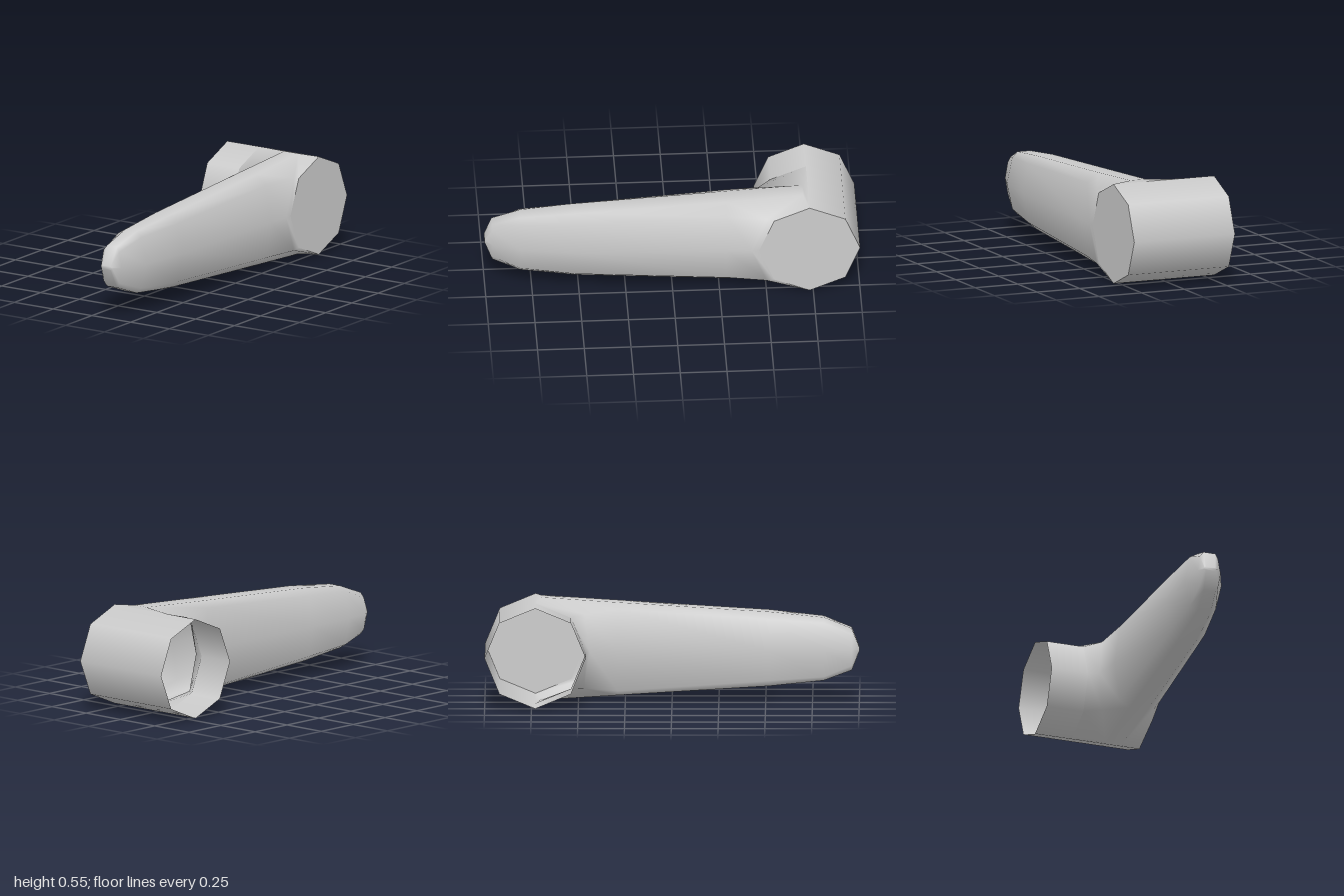
import * as THREE from 'three';

const R = 0.27, CY = 0.28, CZ = -0.73;       // hub radius and centre
const X0 = -0.297, XJ = -0.09, X1 = 0.293;   // open end, joint, closed end

// Half cross-sections of the lever as [x, height above centre, z]:
// inner middle, inner shoulder, top inner, top outer, outer shoulder, outer middle
const at = (z, pts) => pts.map(([x, y]) => [x, y, z]);
const D = R * Math.SQRT1_2;
const SECTIONS = [
  [[XJ, 0, CZ + R], [XJ, D, CZ + D], [XJ, R, CZ], [X1, R, CZ], [X1, D, CZ + D], [X1, 0, CZ + R]],
  [[-0.03, 0, -0.44], [-0.01, 0.2, -0.47], [0.09, 0.277, -0.7], [0.18, 0.277, -0.7], [0.288, 0.2, -0.5], [0.292, 0, -0.42]],
  at(-0.29, [[0, 0], [0.03, 0.22], [0.085, 0.25], [0.185, 0.25], [0.25, 0.2], [0.286, 0]]),
  at(0.52, [[0.01, 0], [0.036, 0.165], [0.085, 0.2], [0.18, 0.2], [0.228, 0.16], [0.262, 0]]),
  at(0.81, [[0.015, 0], [0.042, 0.145], [0.085, 0.17], [0.16, 0.17], [0.19, 0.14], [0.222, 0]]),
  at(0.96, [[0.035, 0], [0.048, 0.085], [0.07, 0.112], [0.135, 0.112], [0.15, 0.085], [0.165, 0]]),
  at(1, [[0.058, 0], [0.062, 0.007], [0.07, 0.01], [0.12, 0.01], [0.127, 0.007], [0.132, 0]]),
];

// Mirror each half section below the centre line and skin the rings
function leverGeometry() {
  const pos = [], index = [], n = 10;
  for (const half of SECTIONS) {
    const lower = half.slice(1, 5).reverse().map(([x, y, z]) => [x, -y, z]);
    for (const [x, y, z] of [...half, ...lower]) pos.push(x, CY + y, z);
  }
  for (let j = 0; j < SECTIONS.length - 1; j++) {
    for (let i = 0; i < n; i++) {
      const a = j * n + i, b = j * n + (i + 1) % n, c = a + n, d = b + n;
      index.push(a, c, b, b, c, d);
    }
  }
  const tip = (SECTIONS.length - 1) * n;
  for (let i = 1; i < n - 1; i++) index.push(tip, tip + i + 1, tip + i);
  const g = new THREE.BufferGeometry();
  g.setAttribute('position', new THREE.Float32BufferAttribute(pos, 3));
  g.setIndex(index);
  g.computeVertexNormals();
  return g;
}

// Open eight-sided wall lying along x, or an arc of it
function hubWall(xa, xb, sides, start, length) {
  return new THREE.CylinderGeometry(R, R, xb - xa, sides, 1, true, start, length)
    .rotateZ(Math.PI / 2)
    .translate((xa + xb) / 2, CY, CZ);
}

export function createModel() {
  const group = new THREE.Group();
  const material = new THREE.MeshStandardMaterial({ color: 0xcccccc, side: THREE.DoubleSide });
  const add = (name, geometry) => {
    const mesh = new THREE.Mesh(geometry, material);
    mesh.name = name;
    group.add(mesh);
  };

  // Hollow hub: full ring at the open end, rear half where the lever joins
  add('hubCollar', hubWall(X0, XJ, 8, 0, Math.PI * 2));
  add('hubBack', hubWall(XJ, X1, 4, Math.PI / 2, Math.PI));
  add('hubEndCap', new THREE.CircleGeometry(R, 8).rotateY(Math.PI / 2).translate(X1, CY, CZ));

  // Tapered lever growing out of the hub's front
  add('lever', leverGeometry());
  return group;
}
